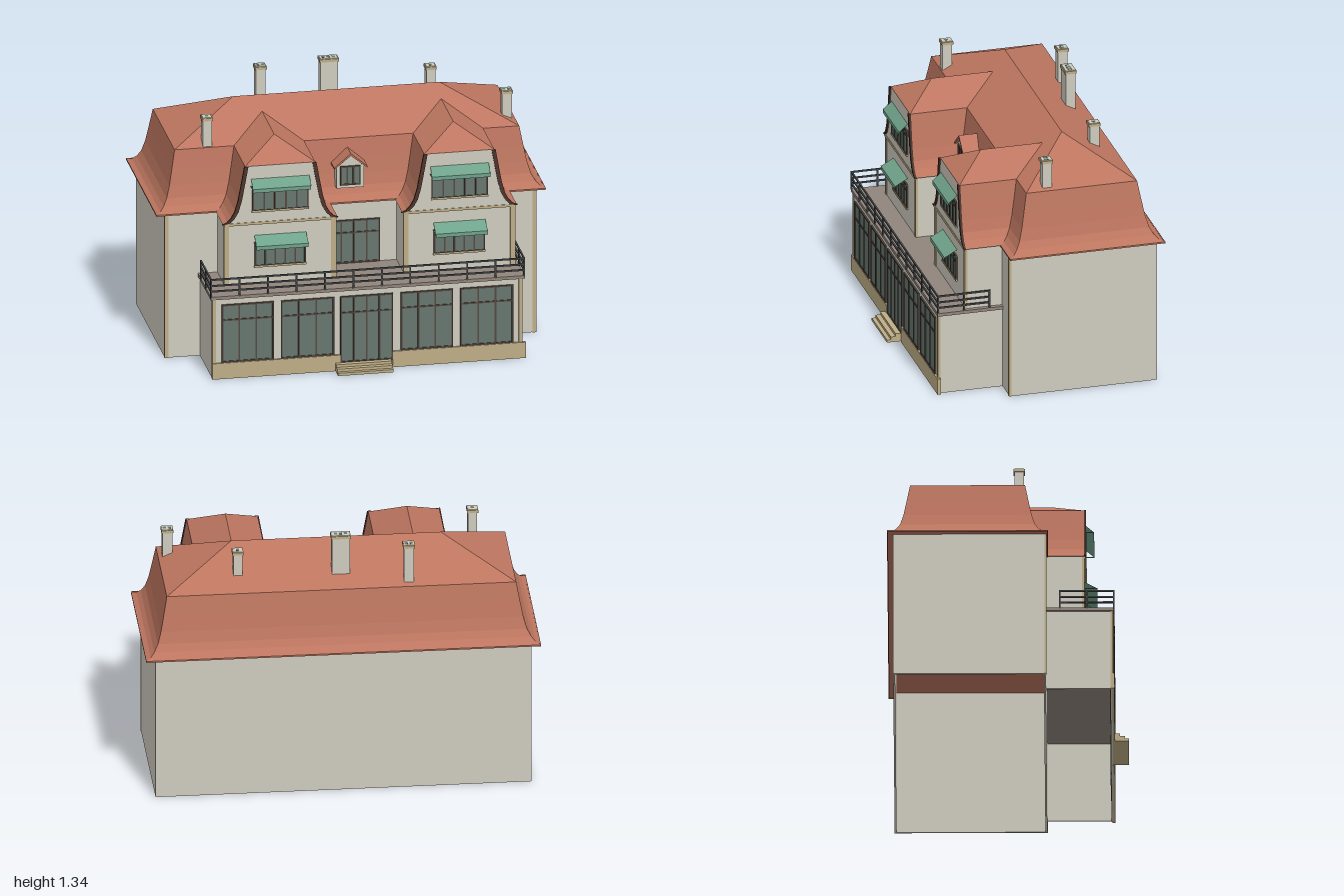
import * as THREE from 'three';

const mat = (name, color, extra = {}) => {
  const m = new THREE.MeshStandardMaterial({ color, ...extra });
  m.name = name;
  return m;
};

export function createModel() {
  const wall = mat('plaster', 0xcfccbf);
  const roof = mat('roof tile', 0xbd7660, { flatShading: true });
  const stone = mat('sandstone', 0xbfae86);
  const glass = mat('glass', 0x66776f);
  const wood = mat('window wood', 0x54473f);
  const verge = mat('dark verge', 0x4d352d, { side: THREE.DoubleSide });
  const slabMat = mat('terrace floor', 0x91857c);
  const metal = mat('railing metal', 0x4c4e50);
  const cloth = mat('awning cloth', 0x70a38b, { side: THREE.DoubleSide });

  const model = new THREE.Group();
  model.name = 'villa';
  const add = (name, geo, material, parent = model) => {
    const m = new THREE.Mesh(geo, material);
    m.name = name;
    parent.add(m);
    return m;
  };
  // box given by its limits
  const box = (name, x0, x1, y0, y1, z0, z1, material, parent) => {
    const m = add(name, new THREE.BoxGeometry(x1 - x0, y1 - y0, z1 - z0), material, parent);
    m.position.set((x0 + x1) / 2, (y0 + y1) / 2, (z0 + z1) / 2);
    return m;
  };
  const group = (name, parent = model) => {
    const g = new THREE.Group();
    g.name = name;
    parent.add(g);
    return g;
  };

  // roof lofted through rectangles [y, x0, x1, z0, z1], closed underneath
  const loftRoof = (name, rings, parent) => {
    const pos = [], idx = [];
    rings.forEach(([y, x0, x1, z0, z1]) => pos.push(x0, y, z1, x1, y, z1, x1, y, z0, x0, y, z0));
    for (let r = 0; r < rings.length - 1; r++) {
      for (let i = 0; i < 4; i++) {
        const a = r * 4 + i, b = r * 4 + (i + 1) % 4;
        idx.push(a, b, b + 4, a, b + 4, a + 4);
      }
    }
    idx.push(0, 3, 2, 0, 2, 1);
    const geo = new THREE.BufferGeometry();
    geo.setAttribute('position', new THREE.Float32BufferAttribute(pos, 3));
    geo.setIndex(idx);
    const flat = geo.toNonIndexed();
    flat.computeVertexNormals();
    return add(name, flat, roof, parent);
  };
  // bell-shaped mansard slope: inset, height
  const slope = [[0, 0.775], [0.025, 0.785], [0.045, 0.805], [0.065, 0.84], [0.082, 0.9], [0.097, 0.98], [0.115, 1.08]];

  // glazed opening with frame, mullions and transom
  const windowUnit = (name, x0, x1, y0, y1, z, depth, panes, transom, parent) => {
    const g = group(name, parent), t = 0.004;
    box('glazing', x0, x1, y0, y1, z - depth, z, glass, g);
    for (let i = 0; i <= panes; i++) {
      const x = x0 + (x1 - x0) * i / panes;
      box('mullion', x - t, x + t, y0, y1, z - 0.004, z + 0.004, wood, g);
    }
    const bars = transom ? [y0, transom, y1] : [y0, y1];
    bars.forEach(y => box('transom', x0 - t, x1 + t, y - t, y + t, z - 0.004, z + 0.004, wood, g));
  };

  // main block: four walls, open below
  const main = group('mainBlock');
  box('frontWall', -0.955, 0.95, 0, 0.778, 0.18, 0.19, wall, main);
  box('backWall', -0.955, 0.95, 0, 0.778, -0.58, -0.57, wall, main);
  box('rightWall', -0.955, -0.945, 0, 0.778, -0.57, 0.18, wall, main);
  box('leftWall', 0.94, 0.95, 0, 0.778, -0.57, 0.18, wall, main);
  [[-0.957, -0.937], [0.932, 0.952]].forEach(([a, b]) =>
    box('cornerStrip', a, b, 0, 0.776, 0.182, 0.194, stone, main));
  windowUnit('balconyDoor', -0.115, 0.145, 0.45, 0.675, 0.195, 0.018, 4, 0.61, main);

  // main roof
  loftRoof('mainRoof', [
    ...slope.map(([d, y]) => [y, -1 + d, 1 - d, -0.61 + d, 0.2 - d]),
    [1.235, -0.53, 0.53, -0.2, -0.2],
  ]);
  [[-1, 1, 0.196, 0.201], [-1, 1, -0.611, -0.606], [-1, -0.995, -0.606, 0.196], [0.995, 1, -0.606, 0.196]]
    .forEach(([a, b, c, d]) => box('eaveEdge', a, b, 0.77, 0.778, c, d, roof));

  // sloping awning with a hanging valance
  const awning = (w, yTop, drop, z, depth, parent) => {
    const g = group('awning', parent);
    const s = add('awningSlope', new THREE.PlaneGeometry(w, Math.hypot(depth, drop)), cloth, g);
    s.position.set(0, yTop - drop / 2, z + depth / 2);
    s.rotation.x = -Math.atan2(depth, drop);
    const v = add('valance', new THREE.PlaneGeometry(w, 0.02), cloth, g);
    v.position.set(0, yTop - drop - 0.01, z + depth);
    [-1, 1].forEach(side => {
      const arm = box('awningArm', side * w / 2 - 0.002, side * w / 2 + 0.002, -0.002, 0.002, -depth / 2, depth / 2, cloth, g);
      arm.position.y = yTop - drop;
      arm.position.z = z + depth / 2;
    });
  };

  // two projecting wings with mansard gables
  [-0.4, 0.52].forEach(cx => {
    const wing = group('gableWing');
    wing.position.x = cx;
    box('wingWalls', -0.285, 0.285, 0.43, 0.776, 0.185, 0.38, wall, wing);
    loftRoof('wingRoof', [
      ...slope.map(([d, y]) => [y, -0.295 + d, 0.295 - d, -0.1, 0.383]),
      [1.182, 0, 0, -0.1, 0.22],
    ], wing);

    const edge = slope.map(([d, y]) => [0.287 - d, y]);
    const outline = [...edge, ...edge.map(([x, y]) => [-x, y]).reverse()];
    const gable = new THREE.Shape(outline.map(([x, y]) => new THREE.Vector2(x, y)));
    add('gableWall', new THREE.ShapeGeometry(gable), wall, wing).position.z = 0.385;

    // curved dark verge boards
    [-1, 1].forEach(side => {
      const pts = [
        ...slope.map(([d, y]) => new THREE.Vector2(side * (0.3 - d), y)),
        ...slope.map(([d, y]) => new THREE.Vector2(side * (0.28 - d), y)).reverse(),
      ];
      const geo = new THREE.ExtrudeGeometry(new THREE.Shape(pts), { depth: 0.012, bevelEnabled: false });
      add('vergeBoard', geo, verge, wing).position.z = 0.38;
      box('wingCornerStrip', side * 0.275 - 0.013, side * 0.275 + 0.013, 0.445, 0.776, 0.372, 0.384, stone, wing);
    });
    box('stringCourse', -0.288, 0.288, 0.764, 0.778, 0.375, 0.388, stone, wing);

    windowUnit('upperWindow', -0.14, 0.14, 0.84, 0.97, 0.389, 0.008, 5, 0.945, wing);
    box('upperSill', -0.147, 0.147, 0.832, 0.841, 0.382, 0.394, stone, wing);
    awning(0.3, 1.012, 0.04, 0.387, 0.045, wing);
    windowUnit('lowerWindow', -0.127, 0.127, 0.54, 0.665, 0.384, 0.008, 5, 0.635, wing);
    box('lowerSill', -0.134, 0.134, 0.532, 0.541, 0.375, 0.39, stone, wing);
    awning(0.267, 0.705, 0.037, 0.382, 0.066, wing);
  });

  // small dormer
  const dormer = group('dormer');
  box('dormerBody', -0.07, 0.07, 0.845, 0.965, 0.06, 0.175, wall, dormer);
  const tri = new THREE.Shape([[-0.07, 0.96], [0.07, 0.96], [0, 1.02]].map(p => new THREE.Vector2(...p)));
  add('dormerGable', new THREE.ShapeGeometry(tri), wall, dormer).position.z = 0.175;
  const cap = new THREE.Shape([[-0.085, 0.952], [0, 1.022], [0.085, 0.952], [0.085, 0.962], [0, 1.034], [-0.085, 0.962]]
    .map(p => new THREE.Vector2(...p)));
  add('dormerRoof', new THREE.ExtrudeGeometry(cap, { depth: 0.11, bevelEnabled: false }), roof, dormer).position.z = 0.08;
  windowUnit('dormerWindow', -0.048, 0.048, 0.865, 0.96, 0.178, 0.008, 3, 0, dormer);

  // ground-floor terrace block
  const terrace = group('terraceBlock');
  box('terraceFront', -0.775, 0.815, 0, 0.43, 0.515, 0.525, wall, terrace);
  box('terraceRightSide', -0.775, -0.765, 0, 0.43, 0.19, 0.515, wall, terrace);
  box('terraceLeftSide', 0.805, 0.815, 0, 0.43, 0.19, 0.515, wall, terrace);
  box('terraceSlab', -0.785, 0.828, 0.428, 0.445, 0.19, 0.533, slabMat, terrace);
  [[-0.777, -0.757], [0.797, 0.817]].forEach(([a, b]) =>
    box('terraceCornerStrip', a, b, 0, 0.428, 0.515, 0.529, stone, terrace));
  box('plinthRight', -0.777, -0.12, 0, 0.085, 0.518, 0.535, stone, terrace);
  box('plinthLeft', 0.15, 0.832, 0, 0.085, 0.518, 0.535, stone, terrace);
  [[-0.725, -0.465], [-0.42, -0.155], [0.195, 0.455], [0.5, 0.765]].forEach(([a, b]) =>
    windowUnit('terraceWindow', a, b, 0.09, 0.395, 0.529, 0.018, 3, 0.315, terrace));
  windowUnit('entranceDoor', -0.115, 0.147, 0.045, 0.395, 0.529, 0.018, 4, 0.31, terrace);

  // entrance steps
  [0.605, 0.585, 0.56].forEach((z, i) =>
    box('step', -0.145, 0.14, i * 0.0145, (i + 1) * 0.0145, 0.52, z, stone));

  // terrace railing
  const railing = group('railing');
  const r = 0.004, x0 = -0.783, x1 = 0.824, zf = 0.531, zb = 0.26;
  [0.475, 0.505, 0.538].forEach(y => {
    box('frontRail', x0, x1, y - r, y + r, zf - r, zf + r, metal, railing);
    [x0, x1].forEach(x => box('sideRail', x - r, x + r, y - r, y + r, zb, zf, metal, railing));
  });
  for (let i = 0; i <= 11; i++) {
    const x = x0 + (x1 - x0) * i / 11;
    box('railPost', x - r, x + r, 0.44, 0.542, zf - r, zf + r, metal, railing);
  }
  [x0, x1].forEach(x => [zb, 0.395].forEach(z =>
    box('railPost', x - r, x + r, 0.44, 0.542, z - r, z + r, metal, railing)));

  // chimneys: x, z, width, top, flues
  [[-0.715, 0.055, 0.046, 1.24, 1], [-0.345, -0.445, 0.05, 1.3, 2], [-0.005, -0.385, 0.09, 1.34, 3],
    [0.515, -0.37, 0.046, 1.265, 1], [0.84, -0.03, 0.05, 1.24, 2]].forEach(([x, z, w, top, n]) => {
    const g = group('chimney');
    g.position.set(x, 0, z);
    const h = w / 2, d = 0.025;
    box('stack', -h, h, x > 0.8 || x < -0.7 ? 1.06 : 1.07, top - 0.005, -d, d, wall, g);
    box('chimneyCap', -h - 0.005, h + 0.005, top - 0.018, top - 0.003, -d - 0.005, d + 0.005, stone, g);
    box('capTop', -h, h, top - 0.004, top, -d, d, wall, g);
    for (let i = 0; i < n; i++) {
      const fx = (i - (n - 1) / 2) * 0.025;
      box('flue', fx - 0.008, fx + 0.008, top - 0.004, top + 0.001, -0.011, 0.011, glass, g);
    }
  });

  return model;
}
